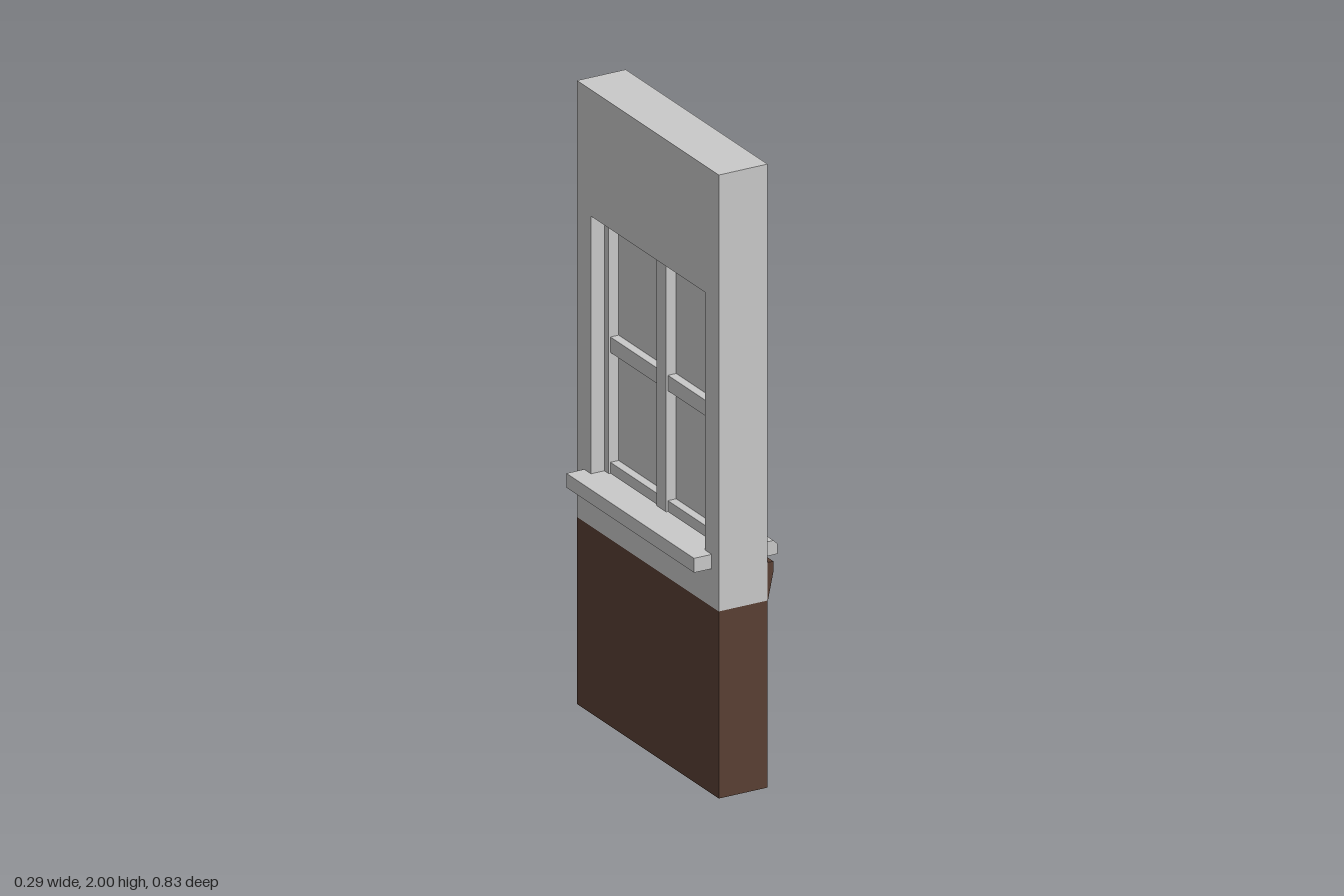
import * as THREE from 'three';

const plaster = new THREE.MeshStandardMaterial({ color: 0xc9c9c9 });
plaster.name = 'plaster grey';
const wood = new THREE.MeshStandardMaterial({ color: 0x5a4034 });
wood.name = 'wainscot brown';

const WALL_X = 0.0835, WALL_Z = 0.417;      // half thickness, half width
const OPEN_Z = 0.335, OPEN_Y0 = 0.768, OPEN_Y1 = 1.595;

export function createModel() {
  const group = new THREE.Group();

  const add = (name, geometry, material) => {
    const mesh = new THREE.Mesh(geometry, material);
    mesh.name = name;
    group.add(mesh);
    return mesh;
  };

  // Box given by its min and max on each axis
  const box = (name, [x0, x1], [y0, y1], [z0, z1], material = plaster) => {
    const mesh = add(name, new THREE.BoxGeometry(x1 - x0, y1 - y0, z1 - z0), material);
    mesh.position.set((x0 + x1) / 2, (y0 + y1) / 2, (z0 + z1) / 2);
  };

  // Moulding: an x-y profile run along z
  const moulding = (name, points, halfLength, material) => {
    const shape = new THREE.Shape(points.map(([x, y]) => new THREE.Vector2(x, y)));
    const geometry = new THREE.ExtrudeGeometry(shape, { depth: halfLength * 2, bevelEnabled: false });
    geometry.translate(0, 0, -halfLength);
    add(name, geometry, material);
  };

  const rect = (target, w, y0, y1) =>
    target.moveTo(-w, y0).lineTo(w, y0).lineTo(w, y1).lineTo(-w, y1).closePath();

  // Lower wall
  box('lowerWall', [-WALL_X, WALL_X], [0, 0.6], [-WALL_Z, WALL_Z], wood);

  // Upper wall with the window opening
  const wallShape = rect(new THREE.Shape(), WALL_Z, 0.6, 2);
  wallShape.holes.push(rect(new THREE.Path(), OPEN_Z, OPEN_Y0, OPEN_Y1));
  const wall = new THREE.ExtrudeGeometry(wallShape, { depth: WALL_X * 2, bevelEnabled: false });
  wall.translate(0, 0, -WALL_X);
  wall.rotateY(Math.PI / 2);
  add('upperWall', wall, plaster);

  // Tapered rail capping the wainscot on one face
  moulding('wainscotRail', [
    [WALL_X, 0.598], [0.086, 0.606], [0.103, 0.687], [0.103, 0.722], [WALL_X, 0.722],
  ], WALL_Z, wood);

  // Sills: chamfered on one face, square on the other
  moulding('chamferedSill', [
    [WALL_X, 0.722], [0.142, 0.722], [0.142, 0.755], [0.128, OPEN_Y0], [WALL_X, OPEN_Y0],
  ], 0.375, plaster);
  box('squareSill', [-0.144, -WALL_X], [0.722, OPEN_Y0], [-0.375, 0.375]);

  // Window frame: stiles, mullion and rails
  const STILE_X = 0.037, RAIL_X = 0.031, STILE_Z = 0.31, MULLION_Z = 0.028;
  const full = [OPEN_Y0, OPEN_Y1];
  box('mullion', [-STILE_X, STILE_X], full, [-MULLION_Z, MULLION_Z]);
  for (const s of [-1, 1]) {
    const span = (a, b) => (s > 0 ? [a, b] : [-b, -a]);
    box('stile', [-STILE_X, STILE_X], full, span(STILE_Z, OPEN_Z));
    for (const y of [[OPEN_Y0, 0.803], [1.155, 1.205], [1.563, OPEN_Y1]]) {
      box('rail', [-RAIL_X, RAIL_X], y, span(MULLION_Z, STILE_Z));
    }
    // Thin pane in the middle of the frame
    box('pane', [-0.003, 0.003], full, span(MULLION_Z, STILE_Z));
  }

  return group;
}
